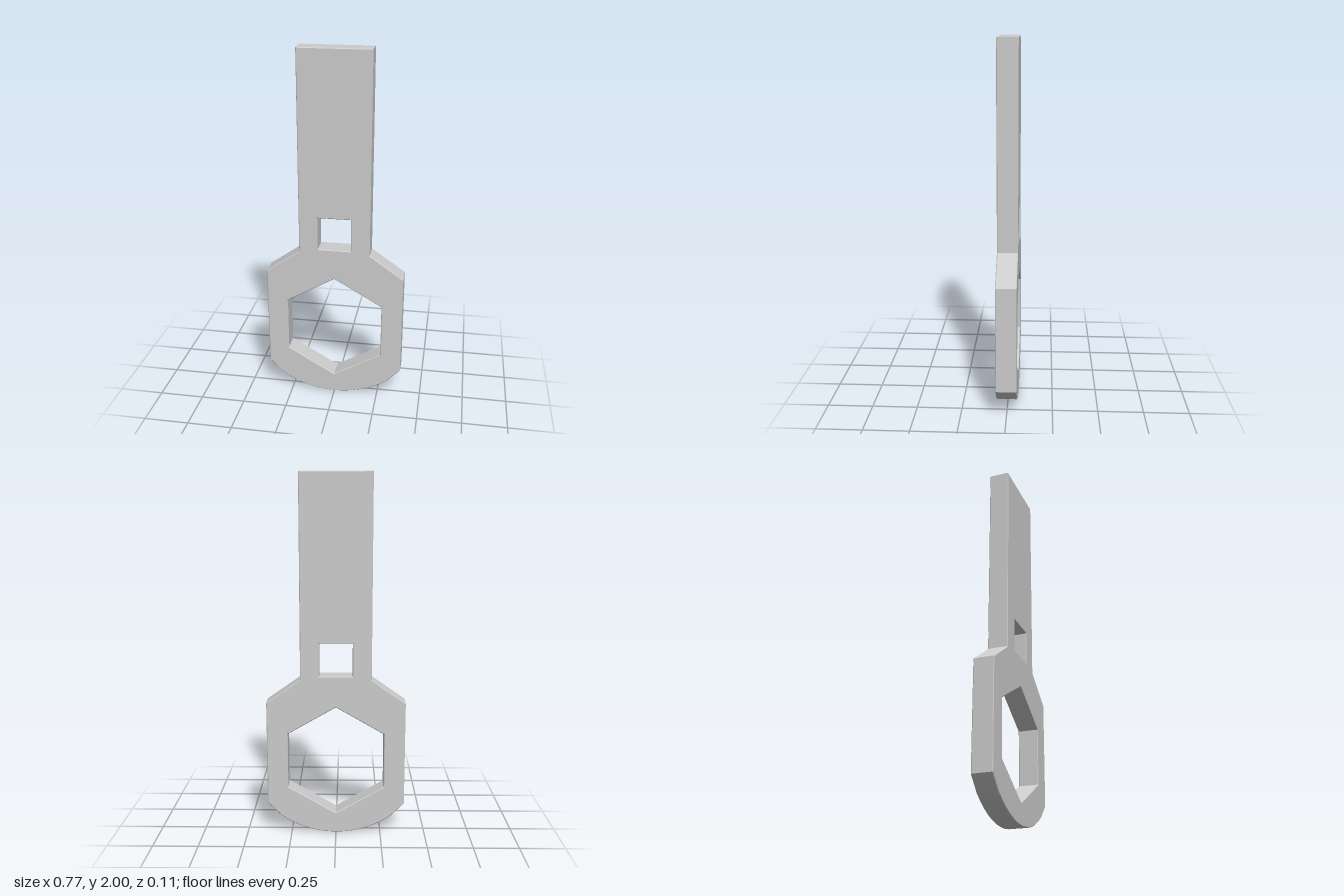
import * as THREE from 'three';
import { toCreasedNormals } from 'three/addons/utils/BufferGeometryUtils.js';

const THICKNESS = 0.112;
const BEVEL = 0.004;

export function createModel() {
  const group = new THREE.Group();
  group.name = 'wrench';

  // Right half of the outline, from the handle's end down to the rounded base
  const right = [[0.196, 2], [0.196, 0.89], [0.384, 0.758], [0.384, 0.175]];
  const radius = 0.53, steps = 6, sweep = 0.625;
  for (let i = steps; i > 0; i--) {
    const a = (sweep * i) / steps;
    right.push([radius * Math.sin(a), radius * (1 - Math.cos(a))]);
  }
  const left = right.map(([x, y]) => [-x, y]).reverse();
  const outline = [...right, [0, 0], ...left].map(([x, y]) => new THREE.Vector2(x, y));
  const shape = new THREE.Shape(outline.reverse());

  // Hexagonal and square sockets
  const addHole = (sides, r, y, turn) => {
    const points = [];
    for (let i = 0; i < sides; i++) {
      const a = turn - (i / sides) * Math.PI * 2;
      points.push(new THREE.Vector2(r * Math.cos(a), y + r * Math.sin(a)));
    }
    shape.holes.push(new THREE.Path(points));
  };
  addHole(6, 0.309, 0.425, Math.PI / 2);
  addHole(4, 0.092 * Math.SQRT2, 1, Math.PI / 4);

  // Flat plate with slightly broken edges
  const plate = new THREE.ExtrudeGeometry(shape, {
    depth: THICKNESS - 2 * BEVEL,
    bevelEnabled: true,
    bevelThickness: BEVEL,
    bevelSize: BEVEL,
    bevelOffset: -BEVEL,
    bevelSegments: 1,
  });
  plate.translate(0, 0, -THICKNESS / 2 + BEVEL);

  const body = new THREE.Mesh(
    toCreasedNormals(plate, 0.45),
    new THREE.MeshStandardMaterial({ color: 0xcccccc })
  );
  body.name = 'wrenchBody';
  group.add(body);
  return group;
}
